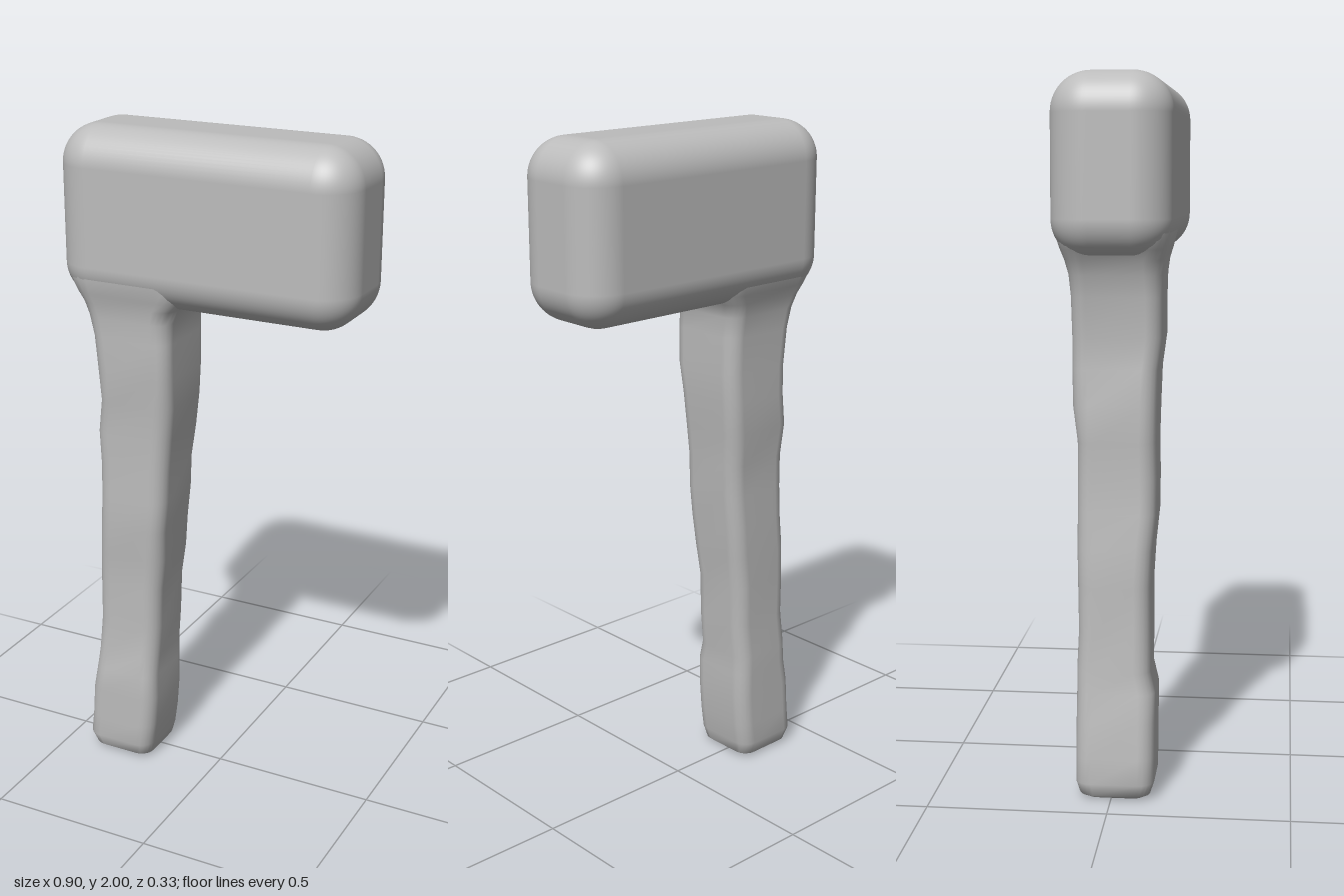
import * as THREE from 'three';
import { RoundedBoxGeometry } from 'three/addons/geometries/RoundedBoxGeometry.js';

// Handle sections, bottom to top: [y, xMin, xMax, zMin, zMax, cornerRadius]
const SECTIONS = [
  [0.00, -0.385, -0.225, -0.07, 0.09, 0.03],
  [0.012, -0.405, -0.207, -0.09, 0.108, 0.04],
  [0.05, -0.42, -0.198, -0.10, 0.12, 0.045],
  [0.12, -0.412, -0.188, -0.10, 0.12, 0.045],
  [0.22, -0.405, -0.18, -0.10, 0.12, 0.045],
  [0.30, -0.39, -0.18, -0.10, 0.12, 0.045],
  [0.36, -0.387, -0.18, -0.10, 0.106, 0.045],
  [0.47, -0.376, -0.17, -0.096, 0.106, 0.045],
  [0.60, -0.375, -0.166, -0.098, 0.105, 0.045],
  [0.70, -0.37, -0.152, -0.10, 0.11, 0.045],
  [0.80, -0.36, -0.145, -0.10, 0.12, 0.045],
  [0.90, -0.355, -0.134, -0.10, 0.12, 0.045],
  [1.00, -0.355, -0.13, -0.10, 0.118, 0.045],
  [1.10, -0.358, -0.12, -0.112, 0.12, 0.045],
  [1.20, -0.345, -0.11, -0.115, 0.123, 0.045],
  [1.29, -0.345, -0.105, -0.115, 0.135, 0.045],
  [1.40, -0.355, -0.105, -0.117, 0.135, 0.045],
  [1.46, -0.37, -0.104, -0.122, 0.137, 0.05],
  [1.50, -0.385, -0.09, -0.132, 0.142, 0.055],
  [1.53, -0.405, -0.06, -0.143, 0.15, 0.065],
  [1.57, -0.43, -0.04, -0.156, 0.16, 0.085],
  [1.62, -0.445, -0.03, -0.163, 0.163, 0.10],
];

// Rounded rectangle ring running from +x towards +z
function ring([y, x0, x1, z0, z1, r], steps = 5) {
  const points = [];
  const corners = [[x1 - r, z1 - r], [x0 + r, z1 - r], [x0 + r, z0 + r], [x1 - r, z0 + r]];
  corners.forEach(([cx, cz], c) => {
    for (let i = 0; i <= steps; i++) {
      const a = (c + i / steps) * Math.PI / 2;
      points.push([cx + r * Math.cos(a), y, cz + r * Math.sin(a)]);
    }
  });
  return points;
}

function loft(sections) {
  const rings = sections.map((s) => ring(s));
  const n = rings[0].length;
  const positions = rings.flat(2);
  const index = [];
  for (let k = 0; k < rings.length - 1; k++) {
    for (let i = 0; i < n; i++) {
      const a = k * n + i, b = k * n + (i + 1) % n;
      index.push(a, a + n, b, b, a + n, b + n);
    }
  }
  // Bottom cap
  const [y, x0, x1, z0, z1] = sections[0];
  const centre = positions.length / 3;
  positions.push((x0 + x1) / 2, y, (z0 + z1) / 2);
  for (let i = 0; i < n; i++) index.push(centre, i, (i + 1) % n);

  const geometry = new THREE.BufferGeometry();
  geometry.setAttribute('position', new THREE.Float32BufferAttribute(positions, 3));
  geometry.setIndex(index);
  geometry.computeVertexNormals();
  return geometry;
}

export function createModel() {
  const group = new THREE.Group();
  group.name = 'hammer';
  const grey = new THREE.MeshStandardMaterial({ color: 0xbcbcbc });
  grey.name = 'plain grey';

  // Heavy rounded block
  const head = new THREE.Mesh(new RoundedBoxGeometry(0.9, 0.5, 0.332, 8, 0.11), grey);
  head.name = 'head';
  head.position.y = 1.75;

  // Uneven carved handle that flares into the head
  const handle = new THREE.Mesh(loft(SECTIONS), grey);
  handle.name = 'handle';

  group.add(head, handle);
  return group;
}
